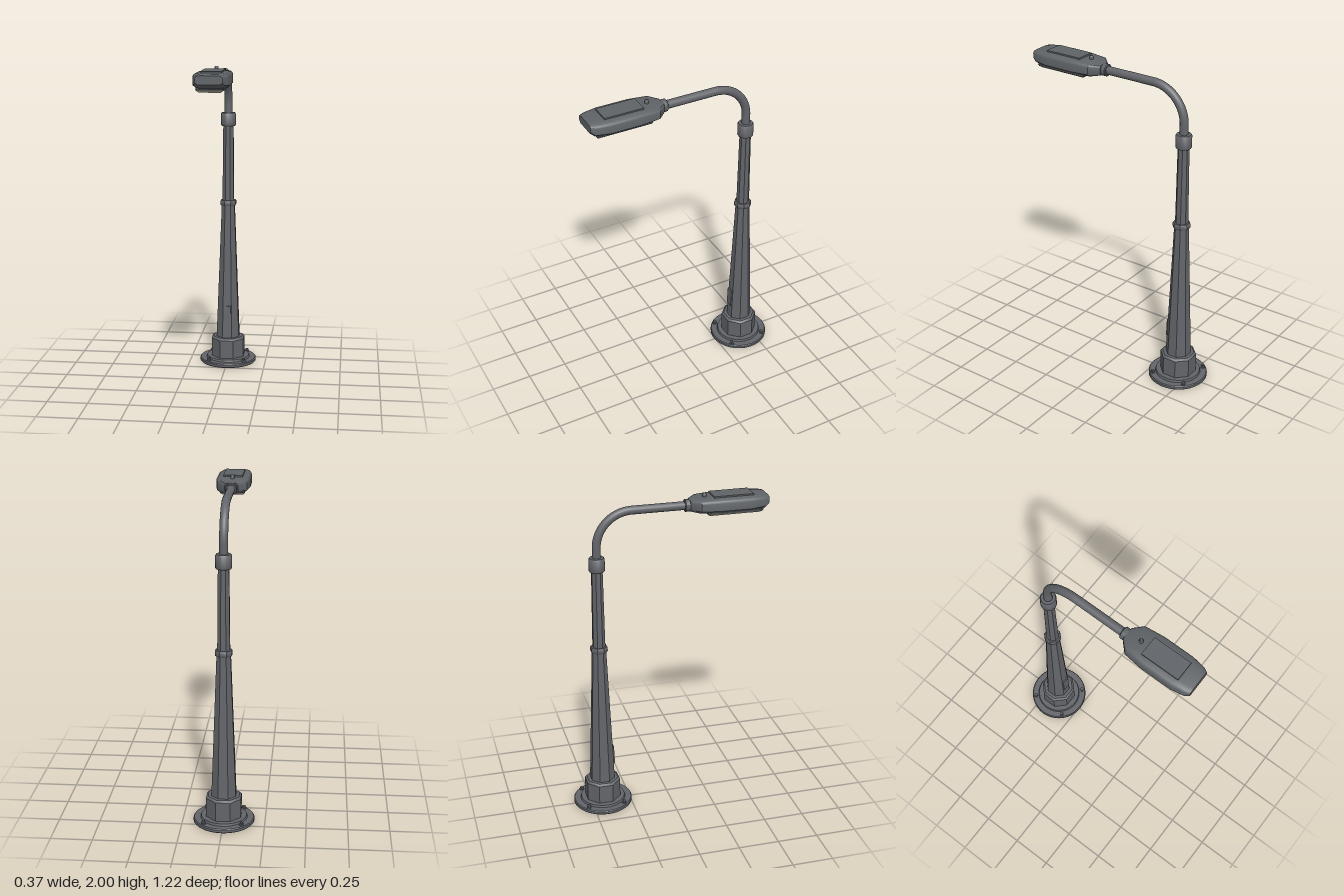
import * as THREE from 'three';
import { toCreasedNormals } from 'three/addons/utils/BufferGeometryUtils.js';

const POLE_Z = -0.425;
const ARM_Y = 1.932;

export function createModel() {
  const model = new THREE.Group();
  model.name = 'streetLamp';

  const paint = (name, color) => Object.assign(new THREE.MeshStandardMaterial({ color }), { name });
  const poleGrey = paint('poleGrey', 0x63656a);
  const headGrey = paint('headGrey', 0x5f6367);
  const lensCream = paint('lensCream', 0xdccba2);

  const add = (parent, name, geometry, material, x = 0, y = 0, z = 0) => {
    const mesh = new THREE.Mesh(geometry, material);
    mesh.name = name;
    mesh.position.set(x, y, z);
    parent.add(mesh);
    return mesh;
  };

  // Turned profile with sharp edges; eight-sided ones have a flat facing front
  const turned = (profile, sides) => {
    const k = sides === 8 ? 1 / Math.cos(Math.PI / 8) : 1;
    const g = new THREE.LatheGeometry(profile.map(([r, y]) => new THREE.Vector2(r * k, y)), sides);
    if (sides === 8) g.rotateY(Math.PI / 8);
    return toCreasedNormals(g, 0.6);
  };

  // Box whose underside is drawn in by a fixed margin
  const taperedBox = (w, h, d, inset) => {
    const g = new THREE.BoxGeometry(w, h, d);
    const p = g.attributes.position;
    for (let i = 0; i < p.count; i++) {
      if (p.getY(i) > 0) continue;
      p.setX(i, p.getX(i) - Math.sign(p.getX(i)) * inset);
      p.setZ(i, p.getZ(i) - Math.sign(p.getZ(i)) * inset);
    }
    return toCreasedNormals(g, 0.3);
  };

  // Column
  const column = new THREE.Group();
  column.name = 'column';
  column.position.z = POLE_Z;
  model.add(column);

  add(column, 'baseFlange', turned([
    [0, 0], [0.18, 0], [0.185, 0.005], [0.185, 0.02], [0.18, 0.026],
    [0.142, 0.026], [0.138, 0.04], [0, 0.04]], 48), poleGrey);
  add(column, 'plinth', turned([
    [0, 0.035], [0.105, 0.035], [0.105, 0.16], [0.093, 0.172], [0, 0.172]], 8), poleGrey);
  add(column, 'lowerPole', turned([[0.074, 0.165], [0.041, 1.065]], 8), poleGrey);
  add(column, 'jointRing', turned([
    [0.036, 1.056], [0.047, 1.056], [0.05, 1.061], [0.05, 1.083],
    [0.046, 1.09], [0.03, 1.09]], 8), poleGrey);
  add(column, 'upperPole', turned([[0.037, 1.08], [0.032, 1.59]], 8), poleGrey);
  add(column, 'topCollar', turned([
    [0.025, 1.575], [0.044, 1.575], [0.048, 1.581], [0.048, 1.652],
    [0.043, 1.66], [0.02, 1.66]], 32), poleGrey);

  // Service door lying along the sloping front face
  const door = add(column, 'serviceDoor', new THREE.BoxGeometry(0.048, 0.12, 0.016),
    poleGrey, 0, 0.33, 0.069);
  door.rotation.x = -0.036;

  // Anchor bolts with washers
  for (const x of [-0.115, 0.115]) {
    for (const z of [-0.115, 0.115]) {
      add(column, 'washer', turned([[0.015, 0.024], [0.015, 0.031], [0, 0.031]], 20), poleGrey, x, 0, z);
      add(column, 'anchorBolt', turned([[0.011, 0.03], [0.011, 0.043], [0, 0.043]], 6), poleGrey, x, 0, z);
    }
  }

  // Arm: upright, quarter bend, horizontal run
  const v = (y, z) => new THREE.Vector3(0, y, z);
  const bend = 0.215, k = bend * 0.552;
  const bendStart = v(ARM_Y - bend, POLE_Z), bendEnd = v(ARM_Y, POLE_Z + bend);
  const path = new THREE.CurvePath();
  path.add(new THREE.LineCurve3(v(1.6, POLE_Z), bendStart));
  path.add(new THREE.CubicBezierCurve3(bendStart, v(bendStart.y + k, POLE_Z), v(ARM_Y, bendEnd.z - k), bendEnd));
  path.add(new THREE.LineCurve3(bendEnd, v(ARM_Y, 0.13)));
  add(model, 'arm', new THREE.TubeGeometry(path, 72, 0.0255, 24), poleGrey);

  // Lamp head
  const head = new THREE.Group();
  head.name = 'lampHead';
  model.add(head);

  const neck = turned([
    [0.02, 0.108], [0.033, 0.108], [0.037, 0.112], [0.037, 0.145], [0, 0.145]], 32);
  add(head, 'neckCollar', neck.rotateX(Math.PI / 2), headGrey, 0, ARM_Y, 0);

  // Housing lofted from back to front: z, half width, bottom, top
  const sections = [
    [0.138, 0.04, 1.903, 1.966], [0.19, 0.092, 1.898, 1.976], [0.31, 0.105, 1.895, 1.982],
    [0.5, 0.105, 1.895, 1.982], [0.585, 0.091, 1.902, 1.978], [0.61, 0.077, 1.922, 1.973]];
  const half = [[0.78, 0], [1, 0.2], [1, 0.72], [0.96, 0.85], [0.86, 0.94], [0.55, 1]];
  const ring = [...half, ...half.map(([x, y]) => [-x, y]).reverse()];
  const n = ring.length;
  const positions = [], index = [];
  sections.forEach(([z, w, y0, y1], s) => {
    for (const [x, y] of ring) positions.push(x * w, y0 + y * (y1 - y0), z);
    if (s === 0) return;
    for (let j = 0; j < n; j++) {
      const a = (s - 1) * n + j, b = (s - 1) * n + (j + 1) % n;
      index.push(a, b, b + n, a, b + n, a + n);
    }
  });
  const last = (sections.length - 1) * n;
  for (let j = 1; j < n - 1; j++) {
    index.push(0, j + 1, j, last, last + j, last + j + 1);
  }
  const housing = new THREE.BufferGeometry();
  housing.setAttribute('position', new THREE.Float32BufferAttribute(positions, 3));
  housing.setIndex(index);
  add(head, 'housing', toCreasedNormals(housing, 0.6), headGrey);

  // Top cover, light sensor, lens frame and lens
  add(head, 'topCover', new THREE.BoxGeometry(0.12, 0.014, 0.242), headGrey, 0, 1.983, 0.396);
  add(head, 'lightSensor', turned([
    [0.012, 1.97], [0.012, 1.994], [0.008, 2], [0, 2]], 20), headGrey, 0, 0, 0.23);
  add(head, 'lensFrame', taperedBox(0.16, 0.014, 0.345, 0.006), headGrey, 0, 1.891, 0.402);
  add(head, 'lens', taperedBox(0.146, 0.009, 0.331, 0.012), lensCream, 0, 1.8795, 0.402);

  return model;
}
